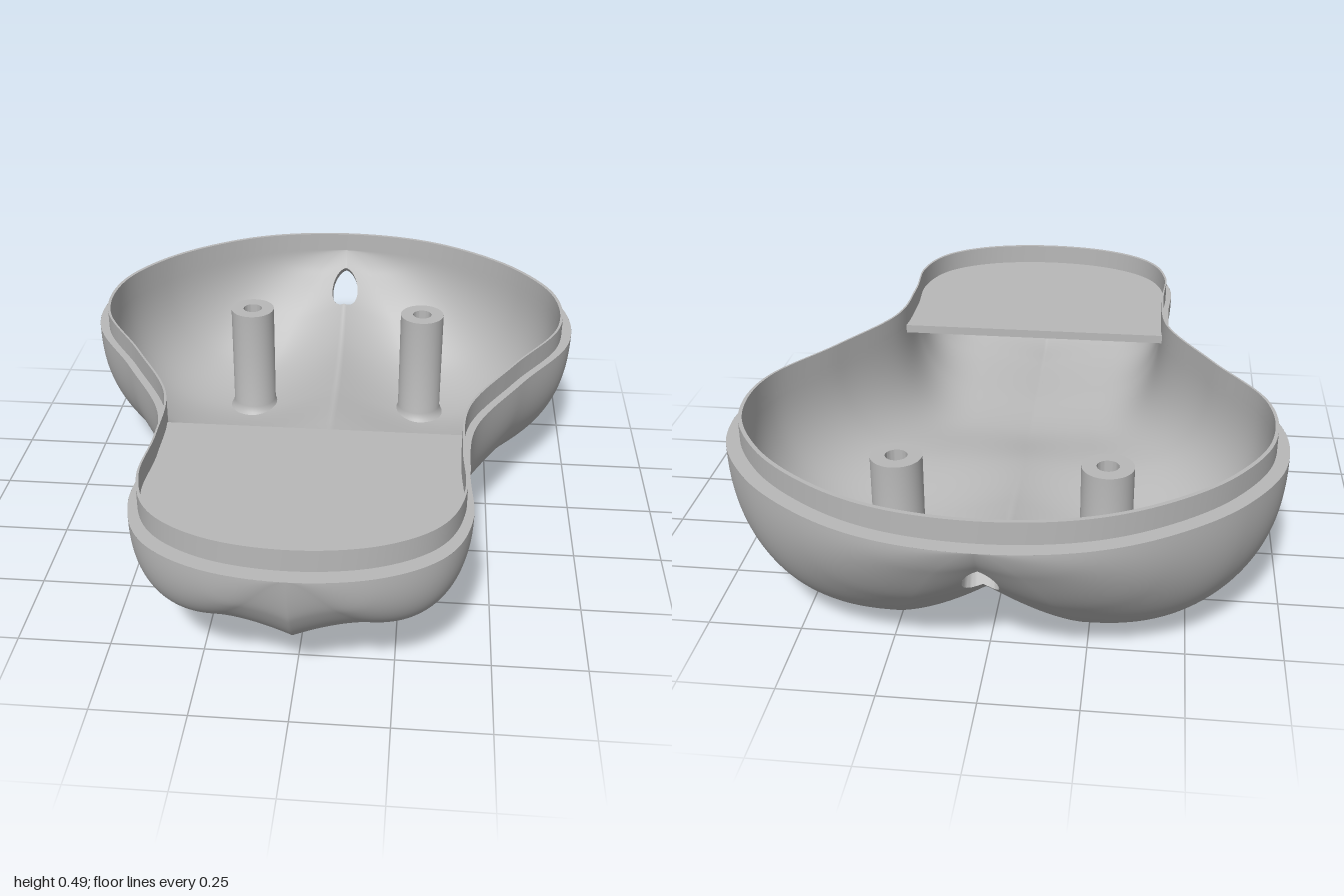
import * as THREE from 'three';
import { toCreasedNormals } from 'three/addons/utils/BufferGeometryUtils.js';

const RIM = 0.43, LIP_TOP = 0.49, LIP_OUT = 0.957, LIP_IN = 0.945, FLOOR = 0.92;
const ROWS = 180, COLS = 150;

// Cross-section values from back to front, every 15 degrees of z = -cos(angle)
const WIDTH = [0, 0.25, 0.455, 0.63, 0.738, 0.73, 0.58, 0.445, 0.425, 0.43, 0.368, 0.215, 0];
const BOTTOM = [0.43, 0.35, 0.2, 0.055, 0.004, 0.035, 0.092, 0.088, 0.125, 0.167, 0.222, 0.325, 0.43];
const RIDGE = [0, 0.02, 0.06, 0.105, 0.11, 0.07, 0.012, -0.018, -0.025, -0.04, -0.055, -0.037, 0];

// Smooth interpolation of a table; sign mirrors it past the ends
function sample(table, angle, sign) {
  const p = angle / Math.PI * 12, i = Math.min(Math.floor(p), 11), t = p - i;
  const at = k => k < 0 ? sign * table[-k] : k > 12 ? sign * table[24 - k] : table[k];
  const a = at(i - 1), b = at(i), c = at(i + 1), d = at(i + 2);
  return b + 0.5 * t * (c - a + t * (2 * a - 5 * b + 4 * c - d + t * (3 * (b - c) + d - a)));
}
const angleAt = z => Math.acos(THREE.MathUtils.clamp(-z, -1, 1));

// Height of the outer underside: two lobes with a valley or keel between
function outerHeight(x, z) {
  const angle = angleAt(z), w = sample(WIDTH, angle, -1);
  if (w < 1e-4) return RIM;
  const u = Math.min(Math.abs(x) / w, 1), lobe = 0.4 + 0.15 * Math.max(z, 0);
  const bottom = sample(BOTTOM, angle, 1);
  if (u < lobe) return bottom + sample(RIDGE, angle, 1) * Math.pow(1 - u / lobe, 1.6);
  const v = (u - lobe) / (1 - lobe);
  return RIM - (RIM - bottom) * Math.pow(Math.max(1 - Math.pow(v, 2.4), 0), 0.41);
}
const innerHeight = (x, z) => RIM - (RIM - outerHeight(x / LIP_IN, z / LIP_IN)) * FLOOR;

// Round openings; the rear one runs level, so its two ends differ in z
const REAR = { x: 0, r: 0.045 };
const REAR_OUT = { ...REAR, z: -0.905 }, REAR_IN = { ...REAR, z: -0.868 };
const SCREWS = [{ x: 0.28, z: -0.5, r: 0.03 }, { x: -0.28, z: -0.5, r: 0.03 }];

// One skin of the shell; grid points inside an opening slide out to its edge
function skin(scale, height, holes, faceUp) {
  const pos = [], inside = [], index = [];
  for (let i = 0; i <= ROWS; i++) {
    const angle = i / ROWS * Math.PI, w = sample(WIDTH, angle, -1);
    for (let j = 0; j <= COLS; j++) {
      let x = scale * w * Math.sin((j / COLS - 0.5) * Math.PI);
      let z = -scale * Math.cos(angle), hit = false;
      for (const h of holes) {
        const dx = x - h.x, dz = z - h.z, d = Math.hypot(dx, dz);
        if (d < h.r) {
          const k = h.r / (d || 1);
          x = h.x + dx * k;
          z = h.z + dz * k;
          hit = true;
        }
      }
      pos.push(x, height(x, z), z);
      inside.push(hit);
    }
  }
  for (let i = 0; i < ROWS; i++) for (let j = 0; j < COLS; j++) {
    const a = i * (COLS + 1) + j, b = a + 1, c = a + COLS + 1, d = c + 1;
    if (inside[a] && inside[b] && inside[c] && inside[d]) continue;
    if (faceUp) index.push(a, c, b, b, c, d);
    else index.push(a, b, c, b, d, c);
  }
  return indexed(pos, index);
}

function indexed(pos, index) {
  const g = new THREE.BufferGeometry();
  g.setAttribute('position', new THREE.Float32BufferAttribute(pos, 3));
  g.setIndex(index);
  g.computeVertexNormals();
  return g;
}

// Closed strips joining successive loops of [x, y, z] points
function loft(loops) {
  const n = loops[0].length, index = [];
  for (let k = 0; k < loops.length - 1; k++) for (let i = 0; i < n; i++) {
    const a = k * n + i, b = k * n + (i + 1) % n;
    index.push(a, a + n, b, b, a + n, b + n);
  }
  return toCreasedNormals(indexed(loops.flat(2), index), 0.7);
}

function outline(scale, y) {
  const pts = [], n = 120;
  for (let i = 0; i < 2 * n; i++) {
    const angle = (i <= n ? i : 2 * n - i) / n * Math.PI;
    const side = i <= n ? 1 : -1;
    pts.push([side * scale * sample(WIDTH, angle, -1), y, -scale * Math.cos(angle)]);
  }
  return pts;
}

export function createModel() {
  const group = new THREE.Group();
  const grey = new THREE.MeshStandardMaterial({ color: 0xb8b8b8, side: THREE.DoubleSide });
  grey.name = 'plain grey';
  const add = (name, geometry) => {
    const mesh = new THREE.Mesh(geometry, grey);
    mesh.name = name;
    group.add(mesh);
    return mesh;
  };

  // Shell skins
  add('outerShell', skin(1, outerHeight, [REAR_OUT, ...SCREWS], false));
  add('innerShell', skin(LIP_IN, innerHeight, [REAR_IN, ...SCREWS], true));

  // Stepped rim with a thin raised lip
  add('rimLip', loft([[1, RIM], [LIP_OUT, RIM], [LIP_OUT, LIP_TOP], [LIP_IN, LIP_TOP], [LIP_IN, RIM]]
    .map(([s, y]) => outline(s, y))));

  // Wall of the rear opening
  const ring = (h, height) => Array.from({ length: 40 }, (_, i) => {
    const a = i / 40 * Math.PI * 2;
    const x = h.x + h.r * Math.cos(a), z = h.z + h.r * Math.sin(a);
    return [x, height(x, z), z];
  });
  add('rearHoleWall', loft([ring(REAR_OUT, outerHeight), ring(REAR_IN, innerHeight)]));

  // Hollow screw posts with slightly flared feet
  const profile = [[0.088, 0.036], [0.077, 0.046], [0.07, 0.065], [0.07, 0.4], [0.03, 0.4], [0.03, 0.008]]
    .map(([r, y]) => new THREE.Vector2(r, y));
  const postGeometry = toCreasedNormals(new THREE.LatheGeometry(profile, 40), 0.7);
  for (const { x, z } of SCREWS) {
    const post = add(x > 0 ? 'leftPost' : 'rightPost', postGeometry);
    post.position.set(x, 0, z);
  }

  // Flat deck across the narrow front
  const edge = outline(0.948, 0).filter(p => p[2] > 0.31).map(p => new THREE.Vector2(p[0], -p[2]));
  const back = 0.31, half = 0.948 * sample(WIDTH, angleAt(back / 0.948), -1);
  const deckShape = new THREE.Shape([new THREE.Vector2(half, -back), ...edge, new THREE.Vector2(-half, -back)]);
  const deck = new THREE.ExtrudeGeometry(deckShape, { depth: 0.025, bevelEnabled: false });
  deck.rotateX(-Math.PI / 2).translate(0, RIM - 0.025, 0);
  add('frontDeck', deck);

  return group;
}
